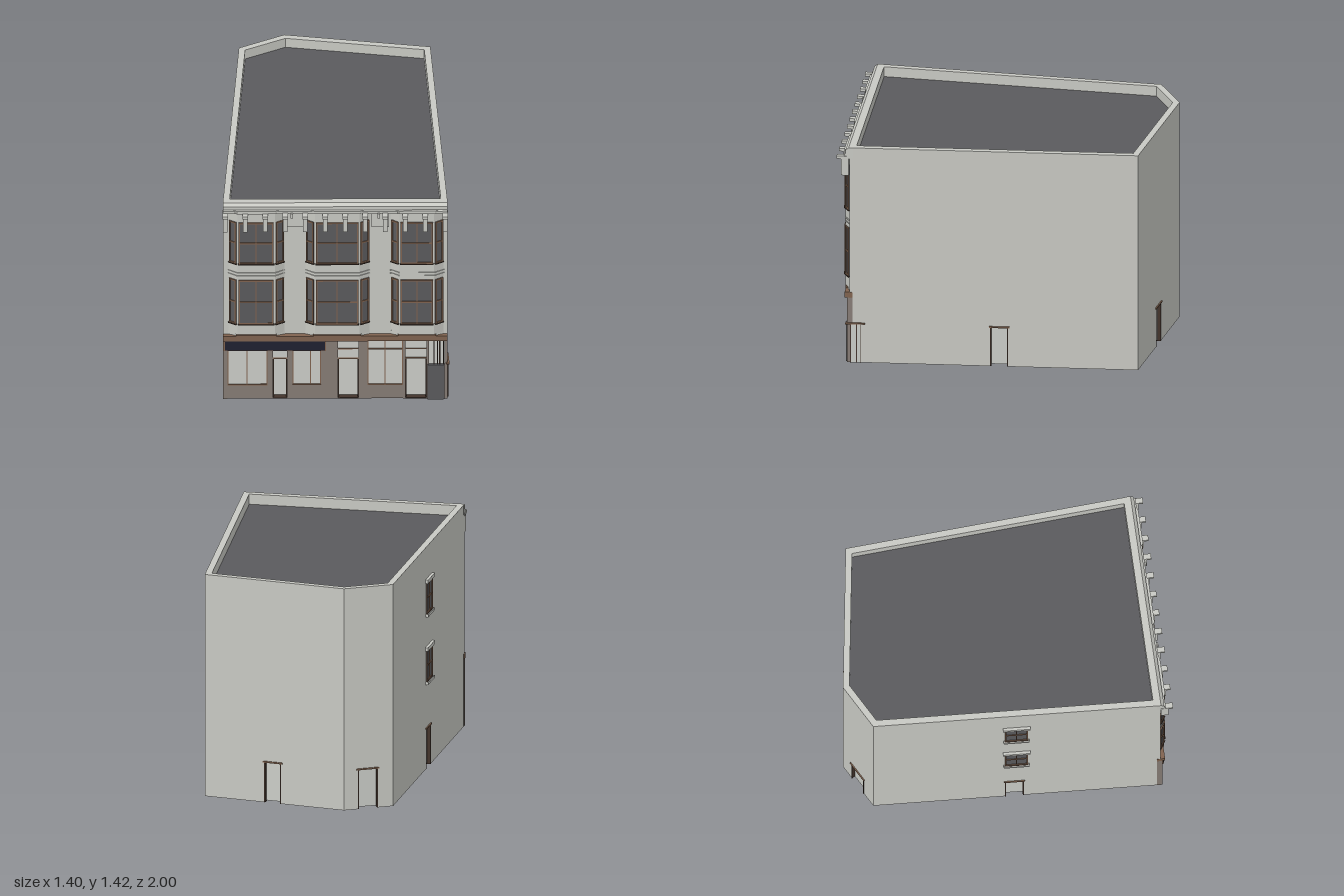
import * as THREE from 'three';

const mat = (name, color, side = THREE.FrontSide) => {
  const m = new THREE.MeshStandardMaterial({ color, side });
  m.name = name;
  return m;
};

export function createModel() {
  const stone = mat('paleStone', 0xc8c9c3);
  const grey = mat('darkGrey', 0x5a5a5d);
  const brown = mat('brownTrim', 0x80634f);
  const taupe = mat('taupePier', 0x867c75);
  const navy = mat('navySign', 0x1f2130);
  const pale = mat('palePane', 0xcbcdc8);
  const dark = mat('darkTrim', 0x43342c);

  const root = new THREE.Group();
  root.name = 'cornerShopBuilding';
  const H = 1.425, T = 0.04, ROOF = 1.36, FZ = 0.92;

  // box given by its x, y and z ranges
  const box = (parent, name, m, x0, x1, y0, y1, z0, z1) => {
    const b = new THREE.Mesh(new THREE.BoxGeometry(x1 - x0, y1 - y0, z1 - z0), m);
    b.position.set((x0 + x1) / 2, (y0 + y1) / 2, (z0 + z1) / 2);
    b.name = name;
    parent.add(b);
    return b;
  };
  // group whose local x runs from A to B in plan, local z points outward
  const facing = (parent, name, A, B) => {
    const g = new THREE.Group();
    g.name = name;
    g.position.set(A[0], 0, A[1]);
    g.rotation.y = Math.atan2(A[1] - B[1], B[0] - A[0]);
    parent.add(g);
    return g;
  };
  // horizontal plan polygon extruded upward
  const prism = (parent, name, m, pts, y0, y1) => {
    const s = new THREE.Shape(pts.map(([x, z]) => new THREE.Vector2(x, -z)));
    const geo = new THREE.ExtrudeGeometry(s, { depth: y1 - y0, bevelEnabled: false });
    geo.rotateX(-Math.PI / 2).translate(0, y0, 0);
    const p = new THREE.Mesh(geo, m);
    p.name = name;
    parent.add(p);
  };

  // footprint and its mitred inner outline
  const plan = [[-0.695, FZ], [0.69, FZ], [0.59, -0.86], [-0.31, -1.0], [-0.59, -0.85]];
  const n = plan.length;
  const dirOf = i => new THREE.Vector2(plan[(i + 1) % n][0] - plan[i][0], plan[(i + 1) % n][1] - plan[i][1]).normalize();
  const inner = plan.map((p, i) => {
    const a = dirOf((i + n - 1) % n), b = dirOf(i);
    const k = T / (1 + a.dot(b));
    return [p[0] + k * (a.y + b.y), p[1] - k * (a.x + b.x)];
  });

  // door openings on each wall: [start, end, height]
  const doors = [
    [[0.31, 0.395, 0.29], [0.71, 0.835, 0.29], [1.125, 1.255, 0.29]],
    [[0.87, 0.98, 0.26]],
    [[0.39, 0.5, 0.26]],
    [[0.09, 0.22, 0.255]],
    [[0.815, 0.93, 0.26]],
  ];
  const wallNames = ['frontWall', 'leftSideWall', 'backWall', 'backCornerWall', 'rightSideWall'];
  const walls = plan.map((A, i) => {
    const B = plan[(i + 1) % n];
    const L = Math.hypot(B[0] - A[0], B[1] - A[1]);
    const g = facing(root, wallNames[i], A, B);
    const s = new THREE.Shape();
    s.moveTo(0, 0);
    for (const [a, b, h] of doors[i]) s.lineTo(a, 0).lineTo(a, h).lineTo(b, h).lineTo(b, 0);
    s.lineTo(L, 0).lineTo(L, H).lineTo(0, H).closePath();
    const geo = new THREE.ExtrudeGeometry(s, { depth: T, bevelEnabled: false });
    geo.translate(0, 0, -T);
    // mitre the inner corners
    g.updateMatrixWorld(true);
    const ends = [inner[i], inner[(i + 1) % n]].map(p => g.worldToLocal(new THREE.Vector3(p[0], 0, p[1])).x);
    const pos = geo.attributes.position;
    for (let k = 0; k < pos.count; k++) {
      if (pos.getZ(k) > -T / 2) continue;
      if (pos.getX(k) < 1e-5) pos.setX(k, ends[0]);
      else if (pos.getX(k) > L - 1e-5) pos.setX(k, ends[1]);
    }
    const w = new THREE.Mesh(geo, stone);
    w.name = 'wallSlab';
    g.add(w);
    for (const [a, b, h] of doors[i]) {
      box(g, 'doorLeaf', pale, a, b, 0.008, h, -0.028, -0.02);
      box(g, 'doorInside', grey, a, b, 0.008, h, -0.036, -0.028);
      for (const x of [a, b - 0.006]) box(g, 'doorJamb', dark, x, x + 0.006, 0, h, -0.03, 0.002);
      box(g, 'doorLintel', brown, a - 0.008, b + 0.008, h - 0.004, h + 0.005, -0.02, 0.008);
    }
    return g;
  });
  prism(root, 'roof', grey, inner, ROOF - 0.02, ROOF);

  // framed sash window on a facing group
  const sash = (parent, x0, x1, y0, y1, mullion, f = 0.009) => {
    const ym = (y0 + y1) / 2, xm = (x0 + x1) / 2;
    box(parent, 'windowGlass', grey, x0, x1, y0, y1, -0.002, 0.003);
    for (const x of [x0, x1 - f]) box(parent, 'windowStile', brown, x, x + f, y0, y1, 0, 0.008);
    for (const y of [y0, ym - f / 2, y1 - f]) box(parent, 'windowRail', brown, x0, x1, y, y + f, 0, 0.008);
    if (mullion) box(parent, 'windowMullion', brown, xm - 0.003, xm + 0.003, y0, y1, 0, 0.007);
    box(parent, 'windowSill', dark, x0 - 0.004, x1 + 0.004, y0 - 0.006, y0, 0, 0.012);
  };

  // two small windows on the right side wall
  for (const y of [0.55, 0.985]) {
    sash(walls[4], 0.815, 0.955, y + 0.015, y + 0.215, true);
    box(walls[4], 'stoneSill', stone, 0.805, 0.965, y - 0.005, y + 0.012, 0, 0.018);
    box(walls[4], 'stoneLintel', stone, 0.8, 0.97, y + 0.212, y + 0.235, 0, 0.018);
  }

  // three two-storey bays: x of outer and inner corners
  const bays = [[-0.66, -0.605, -0.375, -0.315], [-0.185, -0.128, 0.147, 0.21], [0.34, 0.393, 0.607, 0.665]];
  bays.forEach((c, i) => {
    const bay = new THREE.Group();
    bay.name = 'bayWindow' + (i + 1);
    root.add(bay);
    const outline = (e, z = 0.954) => [[c[0] - e, FZ - 0.02], [c[0] - e, FZ], [c[1] - e / 2, z + e], [c[2] + e / 2, z + e], [c[3] + e, FZ], [c[3] + e, FZ - 0.02]];
    prism(bay, 'bayBody', stone, outline(0), 0.48, 1.38);
    prism(bay, 'baySkirt', stone, outline(0.003, 0.94), 0.465, 0.49);
    for (const [a, b] of [[0.905, 0.912], [0.926, 0.934]]) prism(bay, 'bayMoulding', stone, outline(0.005), a, b);
    prism(bay, 'bayCap', stone, outline(0.008), 1.365, 1.385);
    const p = outline(0);
    for (let k = 1; k < 4; k++) {
      const g = facing(bay, 'bayFace', p[k], p[k + 1]);
      const L = Math.hypot(p[k + 1][0] - p[k][0], p[k + 1][1] - p[k][1]);
      for (const [y0, y1] of [[0.56, 0.88], [1.0, 1.3]]) sash(g, 0.007, L - 0.007, y0, y1, k === 2);
    }
  });

  // crowning cornice with brackets
  const prof = [[0.9, 1.425], [0.925, 1.425], [0.945, 1.408], [0.945, 1.385], [0.955, 1.38], [0.955, 1.362], [0.9, 1.362]];
  const cornGeo = new THREE.ExtrudeGeometry(new THREE.Shape(prof.map(([z, y]) => new THREE.Vector2(-z, y))), { depth: 1.385, bevelEnabled: false });
  cornGeo.rotateY(Math.PI / 2).translate(-0.695, 0, 0);
  const cornice = new THREE.Mesh(cornGeo, stone);
  cornice.name = 'cornice';
  root.add(cornice);
  for (const [a, b] of [[-0.305, -0.195], [0.22, 0.33]]) box(root, 'friezePanel', stone, a, b, 1.25, 1.365, 0.9, 0.93);
  for (let i = 0; i < 12; i++) {
    const x = -0.68 + i * 0.1232;
    box(root, 'bracketBody', stone, x - 0.014, x + 0.014, 1.24, 1.355, 0.925, 0.972);
    box(root, 'bracketHead', stone, x - 0.017, x + 0.017, 1.35, 1.368, 0.92, 1.0);
  }
  for (const x of [-0.27, 0.265]) box(root, 'smallBracket', stone, x - 0.008, x + 0.008, 1.335, 1.368, 0.92, 0.965);

  // shopfront fascia and sign
  const shop = new THREE.Group();
  shop.name = 'shopfront';
  root.add(shop);
  box(shop, 'fascia', brown, -0.695, 0.69, 0.428, 0.465, 0.9, 0.95);
  for (const c of bays) box(shop, 'fasciaCap', brown, c[1] - 0.01, c[2] + 0.01, 0.46, 0.475, 0.9, 0.955);
  box(shop, 'signBorder', brown, -0.69, -0.06, 0.352, 0.428, FZ, 0.94);
  box(shop, 'signBoard', navy, -0.683, -0.066, 0.358, 0.424, 0.938, 0.946);

  // piers between shop windows and doors
  const piers = [[-0.695, -0.665], [-0.42, -0.385], [-0.3, -0.265], [-0.09, 0.015], [0.14, 0.195], [0.415, 0.43], [0.56, 0.575], [0.672, 0.69]];
  for (const [a, b] of piers) box(shop, 'pier', taupe, a, b, 0, 0.43, 0.9, 0.935);

  // display windows: start, end, mullion
  for (const [a, b, m] of [[-0.665, -0.42, -0.545], [-0.265, -0.09, -0.155], [0.195, 0.415, 0.305]]) {
    box(shop, 'displayPane', pale, a, b, 0.1, 0.43, FZ, 0.925);
    box(shop, 'stallRiser', taupe, a, b, 0, 0.1, 0.9, 0.932);
    for (const x of [a, m - 0.003, b - 0.006]) box(shop, 'displayMullion', brown, x, x + 0.006, 0.1, 0.43, FZ, 0.931);
    for (const y of [0.097, 0.357]) box(shop, 'displayRail', brown, a, b, y, y + 0.006, FZ, 0.933);
  }
  // transom lights and steps at the doors
  for (const [a, b] of [[-0.385, -0.3], [0.015, 0.14], [0.43, 0.56]]) {
    box(shop, 'transomPane', pale, a, b, 0.295, 0.43, FZ, 0.925);
    box(shop, 'transomBar', brown, a, b, 0.357, 0.363, FZ, 0.93);
    box(shop, 'doorStep', dark, a, b, 0, 0.006, 0.89, 0.935);
  }

  // gated corner entrance with bars
  box(shop, 'cornerPane', pale, 0.575, 0.672, 0, 0.43, FZ, 0.925);
  box(shop, 'cornerGate', grey, 0.565, 0.672, 0, 0.25, 0.925, 0.945);
  for (const x of [0.603, 0.625, 0.638, 0.66]) box(shop, 'gateBar', dark, x, x + 0.007, 0.25, 0.43, 0.925, 0.935);
  box(walls[1], 'cornerLeaf', pale, 0.008, 0.07, 0, 0.255, 0, 0.004);
  for (const x of [0.005, 0.042, 0.068]) box(walls[1], 'cornerJamb', dark, x, x + 0.004, 0, 0.255, 0, 0.006);
  box(walls[1], 'cornerLintel', brown, -0.025, 0.095, 0.255, 0.264, -0.01, 0.01);
  return root;
}
